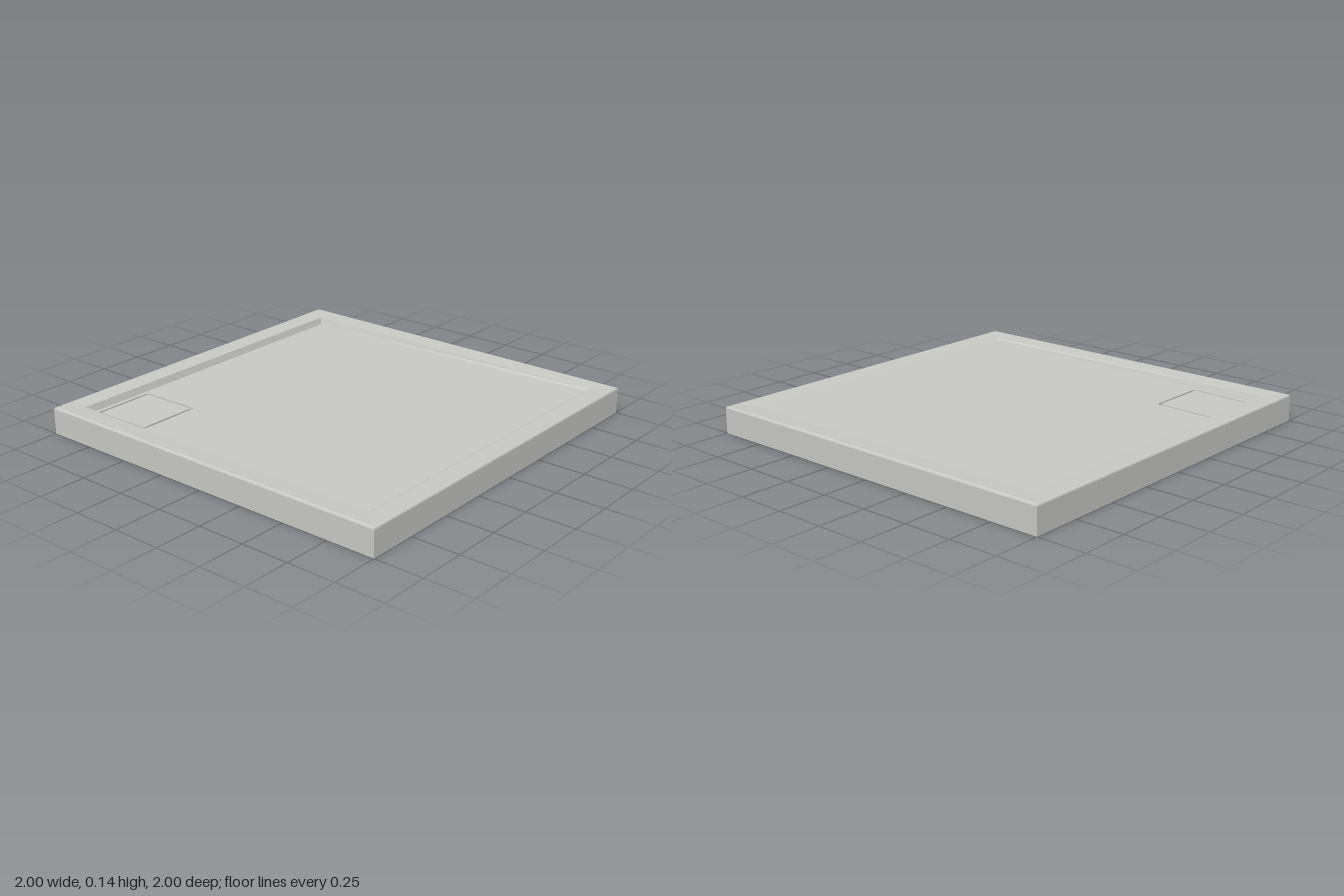
import * as THREE from 'three';

const DRAIN = { x: -0.68, z: -0.69 };
const PIT_Y = 0.035;

// The floor falls from the front down to the back
const floorY = (z) => 0.1135 + 0.0135 * (z / 0.88);

// Rounded square in plan; its y runs towards the back (-z)
function square(half, radius, cx = 0, cz = 0, Type = THREE.Shape) {
  const s = new Type();
  const corners = [[1, -1, -Math.PI / 2], [1, 1, 0], [-1, 1, Math.PI / 2], [-1, -1, Math.PI]];
  for (const [sx, sy, a] of corners) {
    s.absarc(cx + sx * (half - radius), -cz + sy * (half - radius), radius, a, a + Math.PI / 2, false);
  }
  s.closePath();
  return s;
}

// Closed plan outline lifted to a height given by a rule of z
const loopOf = (shape, yAt) =>
  shape.getPoints(4).map((p) => new THREE.Vector3(p.x, yAt(-p.y), -p.y));

const squareLoop = (h, yAt) =>
  [[-h, -h], [-h, h], [h, h], [h, -h]].map(([x, z]) => new THREE.Vector3(x, yAt(z), z));

// Flat-faced skin through successive closed loops
function loft(loops) {
  const points = [];
  for (let k = 0; k < loops.length - 1; k++) {
    const a = loops[k], b = loops[k + 1];
    for (let i = 0; i < a.length; i++) {
      const j = (i + 1) % a.length;
      points.push(a[i], a[j], b[j], a[i], b[j], b[i]);
    }
  }
  const g = new THREE.BufferGeometry().setFromPoints(points);
  g.computeVertexNormals();
  return g;
}

// Horizontal sheet whose height follows a rule of z
function sheet(shape, yAt) {
  const g = new THREE.ShapeGeometry(shape, 4).rotateX(-Math.PI / 2);
  const p = g.attributes.position;
  for (let i = 0; i < p.count; i++) p.setY(i, yAt(p.getZ(i)));
  g.computeVertexNormals();
  return g;
}

export function createModel() {
  const group = new THREE.Group();
  const trayGrey = new THREE.MeshStandardMaterial({ color: 0xc8c8c5, side: THREE.DoubleSide });
  trayGrey.name = 'trayGrey';
  const add = (name, geometry) => {
    const mesh = new THREE.Mesh(geometry, trayGrey);
    mesh.name = name;
    group.add(mesh);
    return mesh;
  };

  // Outer skirt, softened edge, rim sloping inwards and step down to the floor
  const level = (y) => () => y;
  add('skirtAndRim', loft([
    squareLoop(1, level(0)),
    squareLoop(1, level(0.131)),
    squareLoop(0.997, level(0.137)),
    squareLoop(0.99, level(0.14)),
    squareLoop(0.892, level(0.135)),
    squareLoop(0.88, floorY),
  ]));

  // Sloping floor with an opening for the drain
  const floor = new THREE.Shape();
  floor.moveTo(-0.88, -0.88).lineTo(0.88, -0.88).lineTo(0.88, 0.88).lineTo(-0.88, 0.88).closePath();
  floor.holes.push(square(0.168, 0.015, DRAIN.x, DRAIN.z, THREE.Path));
  add('floor', sheet(floor, floorY));

  // Drain pit, open at the top
  const pit = square(0.168, 0.015, DRAIN.x, DRAIN.z);
  add('drainPitWalls', loft([loopOf(pit, floorY), loopOf(pit, level(PIT_Y))]));
  add('drainPitBase', sheet(pit, level(PIT_Y)));

  // Cover plate sits flush with the floor, leaving a narrow gap
  const cover = square(0.154, 0.01, DRAIN.x, DRAIN.z);
  add('drainCover', sheet(cover, floorY));
  add('drainCoverEdge', loft([
    loopOf(cover, (z) => floorY(z) - 0.03),
    loopOf(cover, floorY),
  ]));

  // Short outlet collar under the pit
  const collar = add('outletCollar', new THREE.CylinderGeometry(0.15, 0.15, 0.025, 48, 1, true));
  collar.position.set(DRAIN.x, PIT_Y - 0.0125, DRAIN.z);

  return group;
}
